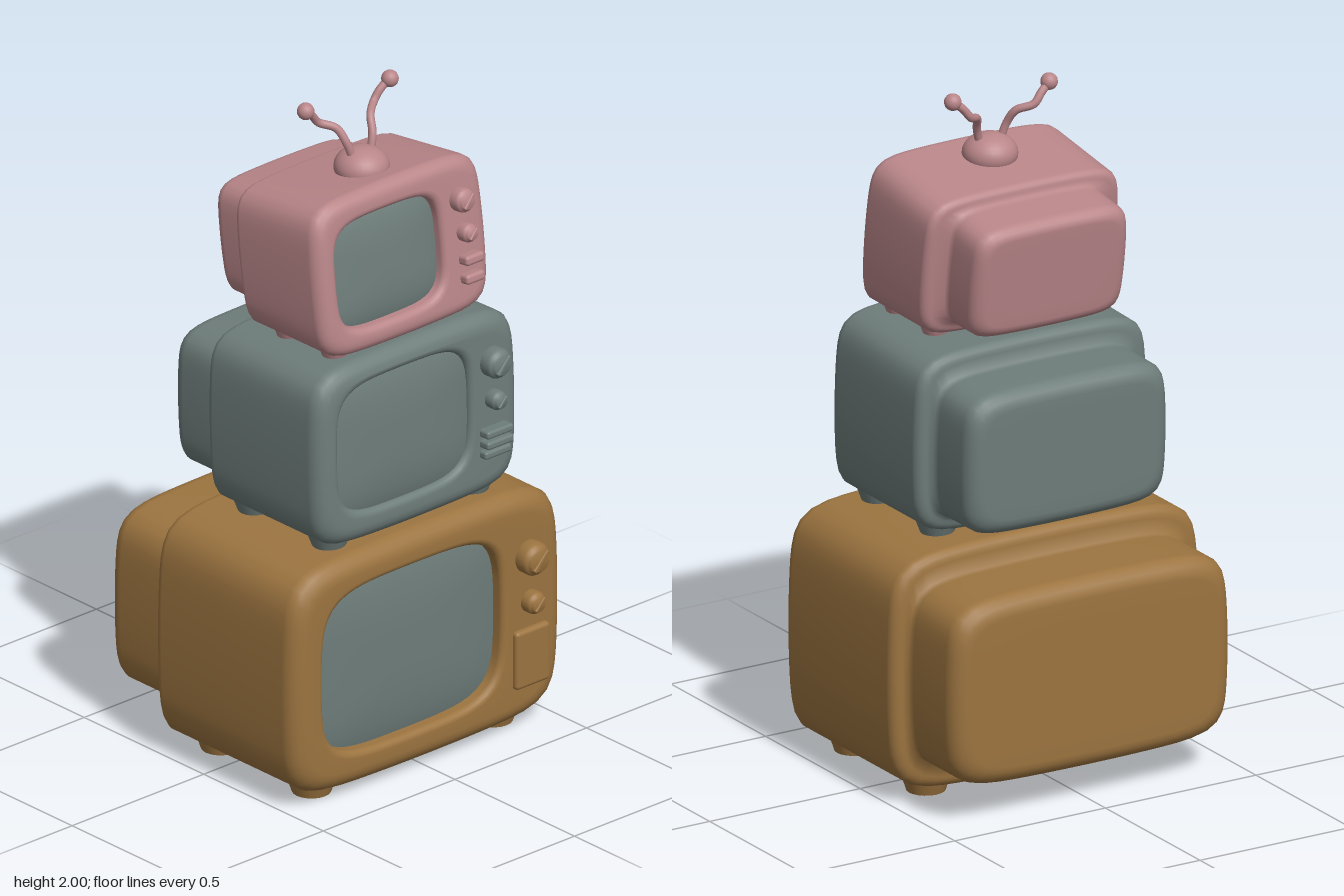
import * as THREE from 'three';
import { RoundedBoxGeometry } from 'three/addons/geometries/RoundedBoxGeometry.js';

const SEG = 80;

function material(name, color, side = THREE.FrontSide) {
  const m = new THREE.MeshStandardMaterial({ color, side });
  m.name = name;
  return m;
}

// Skin a list of soft-cornered rings { w, h, cx, cy, z, n } ordered back to front.
function loft(rings, warp) {
  const pos = [], idx = [];
  const p = new THREE.Vector3();
  rings.forEach(({ w, h, cx = 0, cy, z, n = 8 }) => {
    for (let j = 0; j < SEG; j++) {
      const a = ((j + 0.5) / SEG) * Math.PI * 2, c = Math.cos(a), s = Math.sin(a);
      const r = Math.pow(Math.abs(c) ** n + Math.abs(s) ** n, -1 / n);
      const u = c * r, v = s * r;
      // sides bow gently outward
      p.set(cx + w * u * (1 - 0.035 * v * v), cy + h * v * (1 - 0.035 * u * u), z);
      warp(p);
      pos.push(p.x, p.y, p.z);
    }
  });
  for (let i = 0; i < rings.length - 1; i++) {
    for (let j = 0; j < SEG; j++) {
      const k = (j + 1) % SEG;
      const a = i * SEG + j, b = i * SEG + k, c = b + SEG, d = a + SEG;
      idx.push(a, b, c, a, c, d);
    }
  }
  const g = new THREE.BufferGeometry();
  g.setAttribute('position', new THREE.Float32BufferAttribute(pos, 3));
  g.setIndex(idx);
  g.computeVertexNormals();
  return g;
}

// Rings of a quarter-round edge; dir +1 opens up from a back face, -1 closes at a front face.
function edge(box, z, r, dir) {
  const out = [];
  for (let i = 0; i <= 5; i++) {
    const a = ((dir > 0 ? i : 5 - i) / 5) * Math.PI / 2;
    const inset = r * (1 - Math.sin(a));
    out.push({ ...box, w: box.w - inset, h: box.h - inset, z: z + dir * r * (1 - Math.cos(a)) });
  }
  return out;
}

function casing({ back, body, opening, depth }, warp) {
  const { z0, z1, r } = body;
  const lip = 0.02, rings = [];
  rings.push({ ...back, w: 0, h: 0 }, { ...back, w: back.w * 0.6, h: back.h * 0.6 });
  rings.push(...edge(back, back.z, r, 1));
  rings.push({ ...back, z: z0 - 0.03 }, { ...back, z: z0 - 0.005 });
  rings.push(...edge(body, z0, r * 0.6, 1));
  rings.push({ ...body, z: (z0 + z1) / 2 });
  rings.push(...edge(body, z1, r, -1));
  for (let i = 0; i <= 4; i++) {
    const a = (i / 4) * Math.PI / 2, grow = lip * (1 - Math.sin(a));
    rings.push({ ...opening, w: opening.w + grow, h: opening.h + grow, z: z1 - lip * (1 - Math.cos(a)), n: 5 });
  }
  rings.push({ ...opening, z: z1 - depth - 0.03, n: 5 });
  return loft(rings, warp);
}

function screen({ body, opening, depth }, warp) {
  const rings = [1, 0.92, 0.75, 0.5, 0.25, 0].map((t) => ({
    ...opening, n: 5, w: (opening.w + 0.008) * t, h: (opening.h + 0.008) * t,
    z: body.z1 - depth + 0.02 * (1 - t ** 4),
  }));
  return loft(rings, warp);
}

// Round dial with a diagonal grip, pointing along +z.
function dial(r, length, mat) {
  const g = new THREE.Group();
  g.name = 'dial';
  const profile = [[r * 0.9, -0.03], [r, 0], [r, length * 0.55], [r * 0.88, length * 0.72],
    [r * 0.72, length * 0.78], [r * 0.66, length * 0.95], [0, length]];
  const knob = new THREE.Mesh(new THREE.LatheGeometry(profile.map(([x, y]) => new THREE.Vector2(x, y)), 24), mat);
  knob.rotation.x = Math.PI / 2;
  knob.name = 'dialKnob';
  const grip = new THREE.Mesh(new RoundedBoxGeometry(r * 1.5, r * 0.3, length * 0.4, 2, 0.004), mat);
  grip.position.z = length * 0.86;
  grip.rotation.z = 0.8;
  grip.name = 'dialGrip';
  g.add(knob, grip);
  return g;
}

function television(name, spec, mat, screenMat) {
  const g = new THREE.Group();
  g.name = name;
  const { y0, lean = 0, slope = 0 } = spec;
  const warp = (p) => {
    const up = p.y - y0;
    p.y = y0 + up * (1 + slope * (p.z - 0.28));
    p.z -= lean * up;
    return p;
  };
  const add = (mesh, label, x, y, z) => {
    mesh.name = label;
    mesh.position.set(x, y, z);
    g.add(mesh);
    return mesh;
  };
  add(new THREE.Mesh(casing(spec, warp), mat), 'casing', 0, 0, 0);
  add(new THREE.Mesh(screen(spec, warp), screenMat), 'screen', 0, 0, 0);

  // Controls on the right of the front panel
  const front = (y) => spec.body.z1 - lean * (y - y0);
  for (const [x, y, r, len] of spec.dials) {
    add(dial(r, len, mat), 'dial', x, y, front(y)).rotation.x = -lean;
  }
  for (const [x, y, w, h, len] of spec.plates) {
    const geo = new RoundedBoxGeometry(w, h, len * 2, 3, Math.min(0.018, h * 0.35, len * 0.7));
    add(new THREE.Mesh(geo, mat), 'controlPlate', x, y, front(y)).rotation.x = -lean;
  }

  // Four stubby feet
  const { x, zs, r, bottom, top } = spec.feet;
  for (const sx of [-1, 1]) {
    for (const z of zs) {
      const foot = new THREE.CylinderGeometry(r * 1.15, r * 0.85, top - bottom, 20);
      add(new THREE.Mesh(foot, mat), 'foot', sx * x, (top + bottom) / 2, z);
    }
  }
  return g;
}

function antenna(mat) {
  const g = new THREE.Group();
  g.name = 'antenna';
  const dome = new THREE.Mesh(new THREE.SphereGeometry(0.08, 28, 16), mat);
  dome.scale.y = 0.75;
  dome.position.set(0, 1.775, 0.11);
  dome.name = 'antennaBase';
  g.add(dome);
  for (const s of [-1, 1]) {
    const path = new THREE.CatmullRomCurve3([
      [0.035, 1.81, 0.11], [0.05, 1.86, 0.1], [0.065, 1.9, 0.075], [0.105, 1.92, 0.045], [0.13, 1.95, 0.045], [0.16, 1.975, 0.052],
    ].map(([x, y, z]) => new THREE.Vector3(s * x, y, z)));
    const rod = new THREE.Mesh(new THREE.TubeGeometry(path, 30, 0.012, 10), mat);
    rod.name = 'antennaRod';
    const tip = new THREE.Mesh(new THREE.SphereGeometry(0.025, 18, 12), mat);
    tip.position.set(s * 0.16, 1.975, 0.052);
    tip.name = 'antennaTip';
    g.add(rod, tip);
  }
  return g;
}

export function createModel() {
  const ochre = material('ochre', 0x9c7440);
  const slate = material('slate', 0x6e7d7a);
  const rose = material('rose', 0xb98689);
  const model = new THREE.Group();
  model.name = 'televisionStack';

  model.add(television('bottomTelevision', {
    y0: 0.03,
    back: { w: 0.465, h: 0.285, cy: 0.385, z: -0.445 },
    body: { w: 0.515, h: 0.362, cy: 0.385, z0: -0.195, z1: 0.395, r: 0.055 },
    opening: { w: 0.34, h: 0.26, cx: -0.06, cy: 0.388 }, depth: 0.045,
    dials: [[0.375, 0.54, 0.05, 0.055], [0.38, 0.4, 0.034, 0.045]],
    plates: [[0.38, 0.23, 0.13, 0.18, 0.018]],
    feet: { x: 0.345, zs: [0.28, -0.1], r: 0.066, bottom: 0, top: 0.06 },
  }, ochre, slate));

  model.add(television('middleTelevision', {
    y0: 0.76, lean: 0.02, slope: 0.06,
    back: { w: 0.335, h: 0.225, cy: 1.02, z: -0.315 },
    body: { w: 0.385, h: 0.28, cy: 1.033, z0: -0.115, z1: 0.36, r: 0.05 },
    opening: { w: 0.25, h: 0.2, cx: -0.055, cy: 1.045 }, depth: 0.022,
    dials: [[0.275, 1.165, 0.045, 0.052], [0.275, 1.05, 0.029, 0.045]],
    plates: [[0.275, 0.955, 0.1, 0.024, 0.035], [0.275, 0.922, 0.1, 0.024, 0.035], [0.275, 0.889, 0.1, 0.024, 0.025]],
    feet: { x: 0.27, zs: [0.27, -0.04], r: 0.055, bottom: 0.735, top: 0.78 },
  }, slate, slate));

  model.add(television('topTelevision', {
    y0: 1.31, lean: 0.125, slope: 0.3,
    back: { w: 0.255, h: 0.2, cy: 1.545, z: -0.195 },
    body: { w: 0.322, h: 0.236, cy: 1.548, z0: -0.03, z1: 0.318, r: 0.04 },
    opening: { w: 0.2, h: 0.162, cx: -0.05, cy: 1.545 }, depth: 0.04,
    dials: [[0.22, 1.66, 0.036, 0.045], [0.228, 1.56, 0.028, 0.042]],
    plates: [[0.235, 1.482, 0.07, 0.03, 0.035], [0.235, 1.425, 0.07, 0.03, 0.03]],
    feet: { x: 0.22, zs: [0.24, 0.05], r: 0.04, bottom: 1.295, top: 1.33 },
  }, rose, slate));

  model.add(antenna(rose));
  return model;
}
